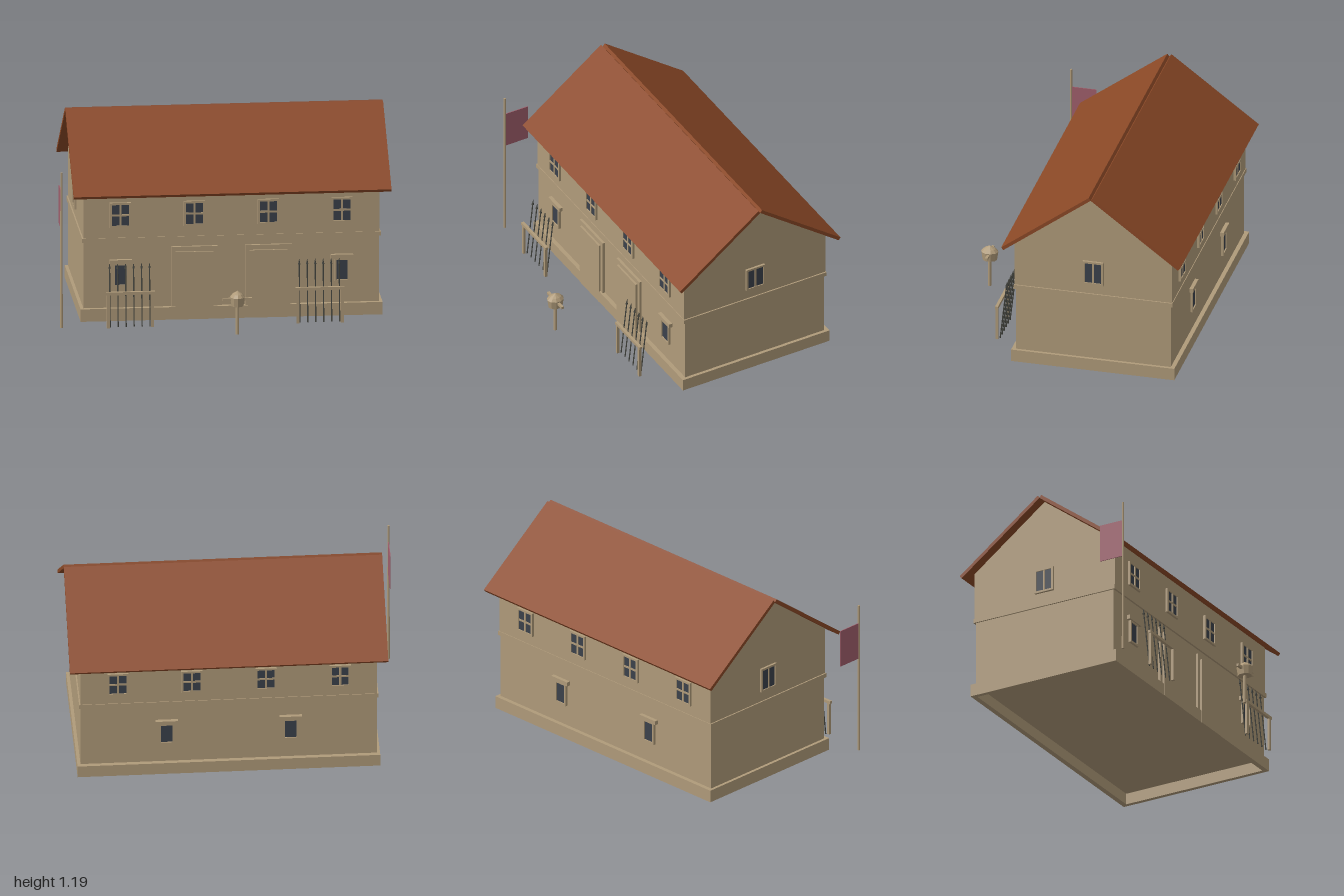
import * as THREE from 'three';

const mat = (name, color, side = THREE.FrontSide) => {
  const m = new THREE.MeshStandardMaterial({ color, side });
  m.name = name;
  return m;
};

export function createModel() {
  const stone = mat('tan stone', 0xb09b7a);
  const tile = mat('roof tile', 0x8a4826);
  const glass = mat('dark glass', 0x3b414b);
  const iron = mat('dark iron', 0x454640);
  const cloth = mat('flag cloth', 0xa05f6c, THREE.DoubleSide);

  const CX = 0.043, CZ = -0.18; // middle of the house
  const model = new THREE.Group();
  model.name = 'barracks';

  const add = (parent, name, geo, material, x = 0, y = 0, z = 0) => {
    const mesh = new THREE.Mesh(geo, material);
    mesh.name = name;
    mesh.position.set(x, y, z);
    parent.add(mesh);
    return mesh;
  };
  const box = (parent, name, w, h, d, material, x, y, z) =>
    add(parent, name, new THREE.BoxGeometry(w, h, d), material, x, y, z);
  const group = (name, x, y, z, turn = 0) => {
    const g = new THREE.Group();
    g.name = name;
    g.position.set(x, y, z);
    g.rotation.y = turn;
    model.add(g);
    return g;
  };

  // Plinth: an open ring around the foot of the walls
  const ring = (w, d, Type) => new Type([
    new THREE.Vector2(-w, -d), new THREE.Vector2(w, -d),
    new THREE.Vector2(w, d), new THREE.Vector2(-w, d)]);
  const plinthShape = ring(0.908, 0.504, THREE.Shape);
  plinthShape.holes.push(ring(0.882, 0.472, THREE.Path));
  const plinthGeo = new THREE.ExtrudeGeometry(plinthShape, { depth: 0.077, bevelEnabled: false });
  plinthGeo.rotateX(-Math.PI / 2);
  add(model, 'plinth', plinthGeo, stone, CX, 0, CZ);

  // Walls and string course
  box(model, 'lowerWalls', 1.778, 0.43, 0.956, stone, CX, 0.285, CZ);
  box(model, 'stringCourse', 1.796, 0.027, 0.98, stone, CX, 0.498, CZ);
  const gable = new THREE.Shape([[-0.486, 0.49], [0.486, 0.49], [0.486, 0.81], [0, 1.173], [-0.486, 0.81]]
    .map(p => new THREE.Vector2(...p)));
  const upperGeo = new THREE.ExtrudeGeometry(gable, { depth: 1.78, bevelEnabled: false });
  upperGeo.translate(0, 0, -0.89).rotateY(Math.PI / 2);
  add(model, 'upperWalls', upperGeo, stone, CX, 0, CZ);

  // Two roof slabs meeting at the ridge
  const pitch = Math.atan(0.748), length = 0.674;
  for (const s of [1, -1]) {
    const slope = group(s > 0 ? 'frontRoof' : 'backRoof', 0.045, 1.174, CZ);
    slope.rotation.x = s * pitch;
    box(slope, 'roofSlab', 1.91, 0.021, length, tile, 0, 0.0105, s * length / 2);
  }

  // Windows are built facing +z, then turned to their wall
  const windowFrame = (g, w, h, bar, depth) => {
    box(g, 'pane', w - bar, h - bar, 0.008, glass, 0, 0, 0.004);
    for (const s of [-1, 1]) {
      box(g, 'frameSide', bar, h, depth, stone, s * (w - bar) / 2, 0, depth / 2);
      box(g, 'frameRail', w, bar, depth, stone, 0, s * (h - bar) / 2, depth / 2);
    }
  };
  const upperWindow = (x, z, turn, cross) => {
    const g = group('upperWindow', x, 0.653, z, turn);
    windowFrame(g, 0.128, 0.155, 0.013, 0.014);
    box(g, 'mullion', 0.012, 0.15, 0.012, stone, 0, 0, 0.006);
    if (cross) box(g, 'transom', 0.12, 0.012, 0.012, stone, 0, 0, 0.006);
  };
  const lowerWindow = (x, z, turn) => {
    const g = group('lowerWindow', x, 0.28, z, turn);
    windowFrame(g, 0.092, 0.145, 0.012, 0.015);
    box(g, 'lintel', 0.135, 0.026, 0.023, stone, 0, 0.083, 0.0115);
  };
  for (const x of [-0.625, -0.18, 0.265, 0.708]) {
    upperWindow(x, 0.306, 0, true);
    upperWindow(x, -0.666, Math.PI, true);
  }
  upperWindow(CX + 0.89, CZ, Math.PI / 2, false);
  upperWindow(CX - 0.89, CZ, -Math.PI / 2, false);
  for (const s of [-1, 1]) {
    lowerWindow(CX + s * 0.665, 0.298, 0);
    lowerWindow(CX + s * 0.372, -0.658, Math.PI);
  }

  // Doors: surround with a raised leaf
  for (const x of [-0.18, 0.265]) {
    const door = group('door', x, 0, 0.298);
    box(door, 'doorSurround', 0.278, 0.448, 0.016, stone, 0, 0.224, 0.008);
    box(door, 'doorLeaf', 0.228, 0.418, 0.028, stone, 0, 0.209, 0.014);
  }

  // Spear racks with six leaning spears each
  const shaftGeo = new THREE.CylinderGeometry(0.004, 0.004, 0.355, 6);
  const tipGeo = new THREE.ConeGeometry(0.008, 0.035, 6);
  for (const x of [-0.58, 0.56]) {
    const rack = group('spearRack', x, 0, 0.476);
    box(rack, 'rackRail', 0.295, 0.018, 0.018, stone, 0, 0.213, 0);
    for (const s of [-1, 1]) box(rack, 'rackPost', 0.018, 0.21, 0.016, stone, s * 0.133, 0.105, 0);
    for (let i = 0; i < 6; i++) {
      const spear = new THREE.Group();
      spear.name = 'spear';
      spear.position.set((i - 2.5) * 0.048, 0, -0.016);
      spear.rotation.x = -0.11;
      add(spear, 'spearShaft', shaftGeo, iron, 0, 0.1775, 0);
      add(spear, 'spearTip', tipGeo, iron, 0, 0.37, 0);
      rack.add(spear);
    }
  }

  // Training dummy: post, crossbar and faceted head
  const dummy = group('trainingDummy', CX, 0, 0.687);
  add(dummy, 'dummyPost', new THREE.CylinderGeometry(0.011, 0.011, 0.19, 8), stone, 0, 0.095, 0);
  box(dummy, 'dummyArms', 0.176, 0.016, 0.016, stone, 0, 0.217, 0);
  const profile = [[0, 0.178], [0.045, 0.178], [0.053, 0.232], [0.036, 0.25], [0, 0.27]];
  const headGeo = new THREE.LatheGeometry(profile.map(p => new THREE.Vector2(...p)), 10).toNonIndexed();
  headGeo.scale(0.84, 1, 1);
  headGeo.computeVertexNormals();
  add(dummy, 'dummyHead', headGeo, stone);

  // Flagpole and flag
  const flag = group('flagpole', -0.992, 0, 0.448);
  add(flag, 'pole', new THREE.CylinderGeometry(0.007, 0.008, 0.963, 8), stone, 0, 0.4815, 0);
  box(flag, 'flag', 0.005, 0.235, 0.155, cloth, 0, 0.728, -0.08);

  return model;
}
